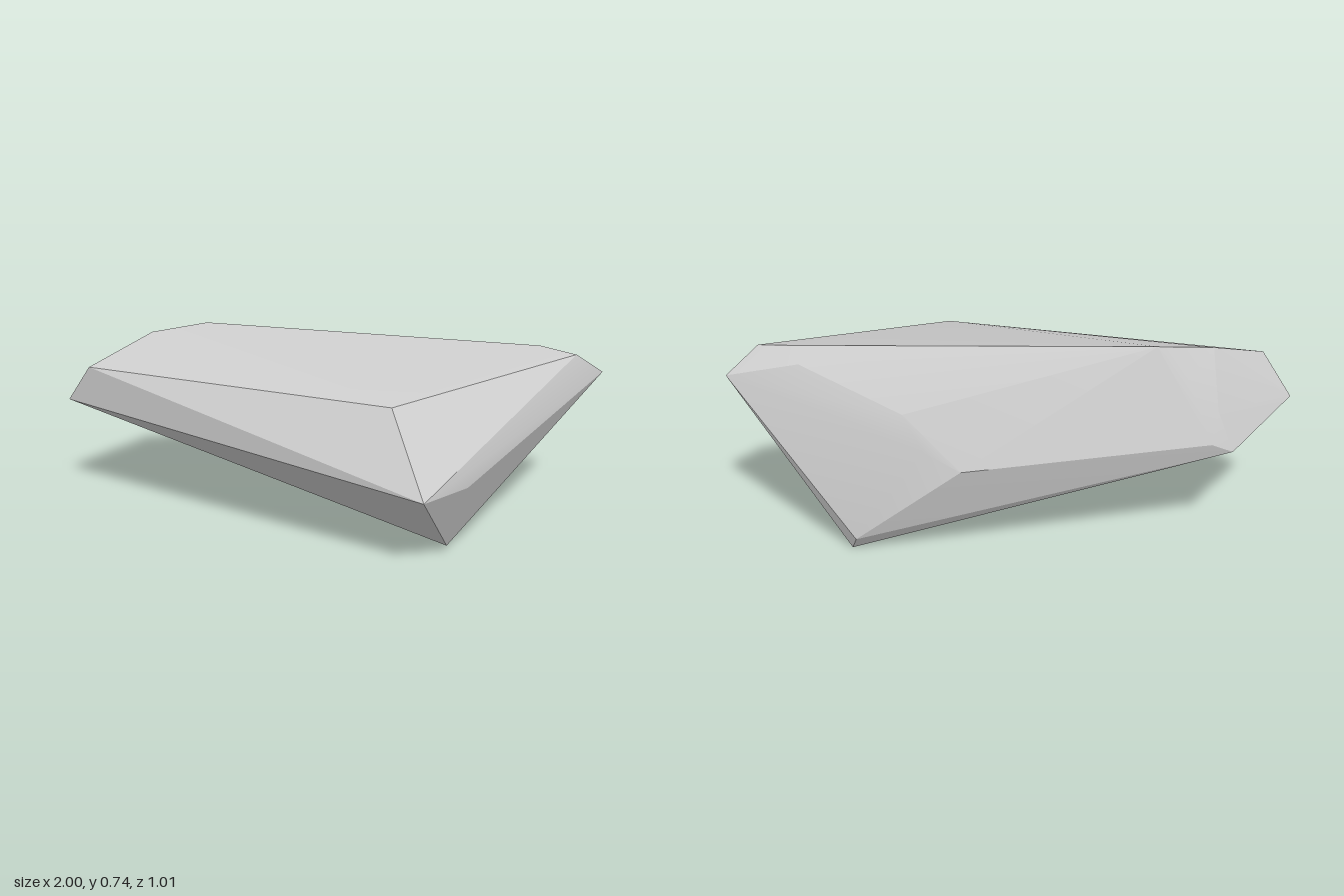
import * as THREE from 'three';
import { ConvexGeometry } from 'three/addons/geometries/ConvexGeometry.js';
import { toCreasedNormals } from 'three/addons/utils/BufferGeometryUtils.js';

// Corners of the faceted stone, grouped by region
const corners = {
  rightTip: [[1, 0.61, 0], [0.88, 0.70, 0.04], [0.76, 0.715, -0.03], [0.75, 0.665, -0.085]],
  front: [[0.15, 0.635, 0.29], [0.23, 0.365, 0.505], [0.41, 0.355, 0.385]],
  base: [[0.38, 0.03, 0.22], [0.61, 0, -0.24], [0.60, 0.055, -0.28], [-0.55, 0.285, -0.34]],
  leftTip: [[-1, 0.475, -0.31], [-0.91, 0.63, -0.24]],
  top: [[-0.67, 0.715, -0.36], [-0.46, 0.74, -0.37]],
  back: [[0.42, 0.53, -0.285], [0.36, 0.41, -0.345], [0.24, 0.345, -0.40],
    [-0.56, 0.63, -0.42], [-0.66, 0.52, -0.468], [-0.63, 0.41, -0.505], [-0.71, 0.375, -0.505]],
};

export function createModel() {
  const group = new THREE.Group();
  group.name = 'rock';

  // Convex hull with soft shallow edges and crisp main edges
  const points = Object.values(corners).flat().map((p) => new THREE.Vector3(...p));
  const geometry = toCreasedNormals(new ConvexGeometry(points), 0.3);
  const stone = new THREE.Mesh(geometry, new THREE.MeshStandardMaterial({ color: 0xcccccc }));
  stone.name = 'stone';
  group.add(stone);
  return group;
}
